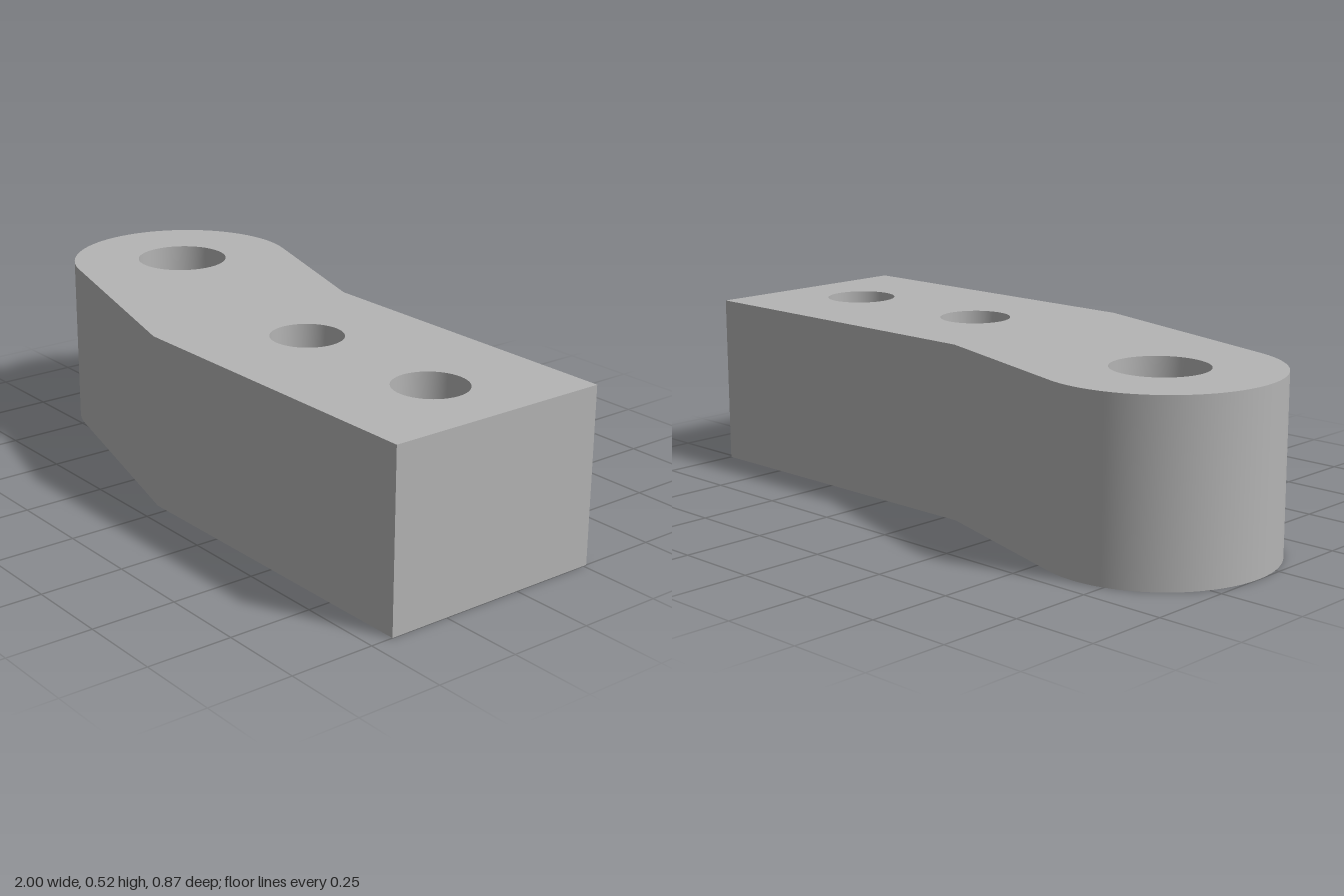
import * as THREE from 'three';
import { toCreasedNormals } from 'three/addons/utils/BufferGeometryUtils.js';

const HEIGHT = 0.52;
const PIVOT = { x: -0.655, y: 0.09 }; // plan coordinates: y points to the back (-z)
const SCREWS = [{ x: 0.215, y: -0.085 }, { x: 0.735, y: -0.085 }];
const BORE = 0.09, RECESS = 0.14, RECESS_FLOOR = 0.415;
const SCREW = 0.107, POCKET = 0.177, POCKET_TOP = 0.3;

// Points along an arc in plan
function arc(c, r, from, to, n) {
  const pts = [];
  for (let i = 0; i <= n; i++) {
    const a = from + (to - from) * i / n;
    pts.push(new THREE.Vector2(c.x + r * Math.cos(a), c.y + r * Math.sin(a)));
  }
  return pts;
}
// Clockwise circle, so that its wall faces inwards
const hole = (c, r) => arc(c, r, Math.PI * 2, 0, 48);

// Vertical wall following a closed plan loop
function wall(loop, y0, y1) {
  const n = loop.length - 1;
  const geo = new THREE.PlaneGeometry(1, 1, n, 1);
  const pos = geo.attributes.position;
  for (let i = 0; i <= n; i++) {
    pos.setXYZ(i, loop[i].x, y1, -loop[i].y);
    pos.setXYZ(i + n + 1, loop[i].x, y0, -loop[i].y);
  }
  return toCreasedNormals(geo, 0.2);
}

// Flat horizontal face with holes, facing up or down
function face(loop, holes, y, down = false) {
  const shape = new THREE.Shape(loop);
  shape.holes = holes.map((h) => new THREE.Path(h));
  const geo = new THREE.ShapeGeometry(shape).rotateX(-Math.PI / 2).translate(0, y, 0);
  if (down) {
    geo.setIndex(Array.from(geo.index.array).reverse());
    geo.computeVertexNormals();
  }
  return geo;
}

export function createModel() {
  const model = new THREE.Group();
  model.name = 'offsetArm';
  const metal = new THREE.MeshStandardMaterial({ color: 0xb4b4b4 });
  metal.name = 'plainGrey';
  const add = (name, geo) => {
    const mesh = new THREE.Mesh(geo, metal);
    mesh.name = name;
    model.add(mesh);
  };

  // Outline: straight bar, slanted neck, rounded pivot end
  const rad = THREE.MathUtils.degToRad;
  const outline = [
    new THREE.Vector2(-0.045, -0.432), new THREE.Vector2(1, -0.432),
    new THREE.Vector2(1, 0.262), new THREE.Vector2(-0.045, 0.262),
    ...arc(PIVOT, 0.345, rad(73), rad(255), 64),
  ];
  add('outerWall', wall([...outline, outline[0]], 0, HEIGHT));
  add('topFace', face(outline, [hole(PIVOT, RECESS), ...SCREWS.map((c) => hole(c, SCREW))], HEIGHT));
  add('bottomFace', face(outline, [hole(PIVOT, BORE), ...SCREWS.map((c) => hole(c, POCKET))], 0, true));

  // Pivot hole with a shallow recess on top
  add('pivotBore', wall(hole(PIVOT, BORE), 0, RECESS_FLOOR));
  add('pivotRecess', wall(hole(PIVOT, RECESS), RECESS_FLOOR, HEIGHT));
  add('pivotLedge', face(hole(PIVOT, RECESS), [hole(PIVOT, BORE)], RECESS_FLOOR));

  // Screw holes with wide pockets underneath
  for (const c of SCREWS) {
    add('screwBore', wall(hole(c, SCREW), POCKET_TOP, HEIGHT));
    add('screwPocket', wall(hole(c, POCKET), 0, POCKET_TOP));
    add('screwLedge', face(hole(c, POCKET), [hole(c, SCREW)], POCKET_TOP, true));
  }
  return model;
}
